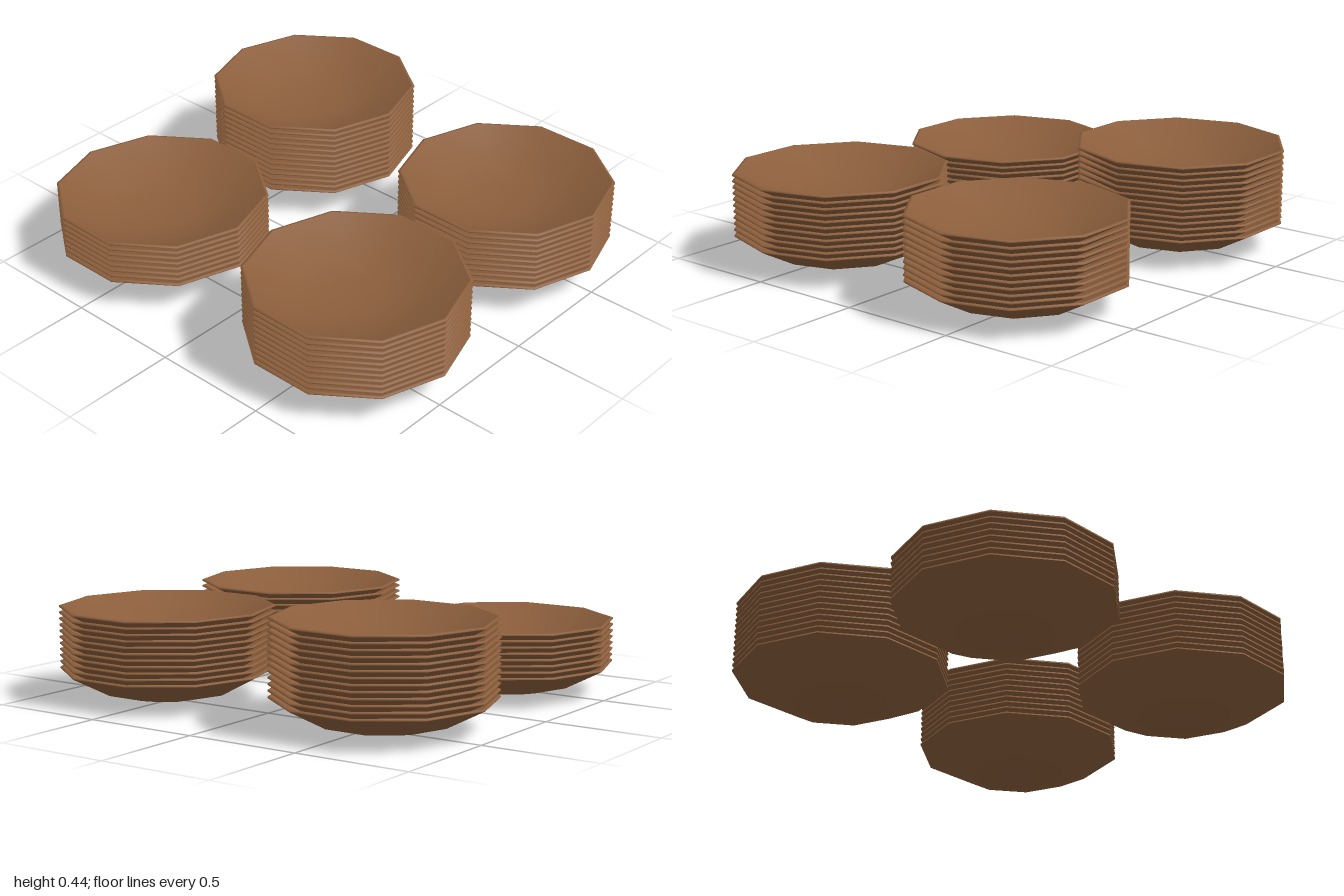
import * as THREE from 'three';
import { mergeGeometries } from 'three/addons/utils/BufferGeometryUtils.js';

const SIDES = 10;
const STEP = 0.026; // rise from one nested bowl to the next

// Ten-sided surface of revolution with a corner on the x axis
function turned(points) {
  const profile = points.map(([r, y]) => new THREE.Vector2(r, y));
  return new THREE.LatheGeometry(profile, SIDES, Math.PI / 2);
}

// Shallow bowl: outside, narrow rim and hollow inside, creased at the rim
function bowlGeometry() {
  const outside = turned([[0, 0], [0.135, 0.003], [0.285, 0.037], [0.4535, 0.125]]);
  const rim = turned([[0.4535, 0.125], [0.4535, 0.131], [0.443, 0.133]]);
  const inside = turned([[0.443, 0.133], [0.28, 0.051], [0.135, 0.017], [0, 0.014]]);
  return mergeGeometries([outside, rim, inside]);
}

export function createModel() {
  const model = new THREE.Group();
  model.name = 'bowlStacks';

  const brown = new THREE.MeshStandardMaterial({ color: 0x8b5e3c });
  brown.name = 'brown';
  const geometry = bowlGeometry();

  // Stack name, centre and number of bowls
  const stacks = [
    ['frontLeftStack', 0.5465, 0.475, 11],
    ['frontRightStack', -0.5465, 0.475, 8],
    ['backLeftStack', 0.5465, -0.475, 11],
    ['backRightStack', -0.5465, -0.475, 13],
  ];

  for (const [name, x, z, count] of stacks) {
    const stack = new THREE.Group();
    stack.name = name;
    stack.position.set(x, 0, z);
    for (let i = 0; i < count; i++) {
      const bowl = new THREE.Mesh(geometry, brown);
      bowl.name = 'bowl';
      bowl.position.y = i * STEP;
      stack.add(bowl);
    }
    model.add(stack);
  }
  return model;
}
